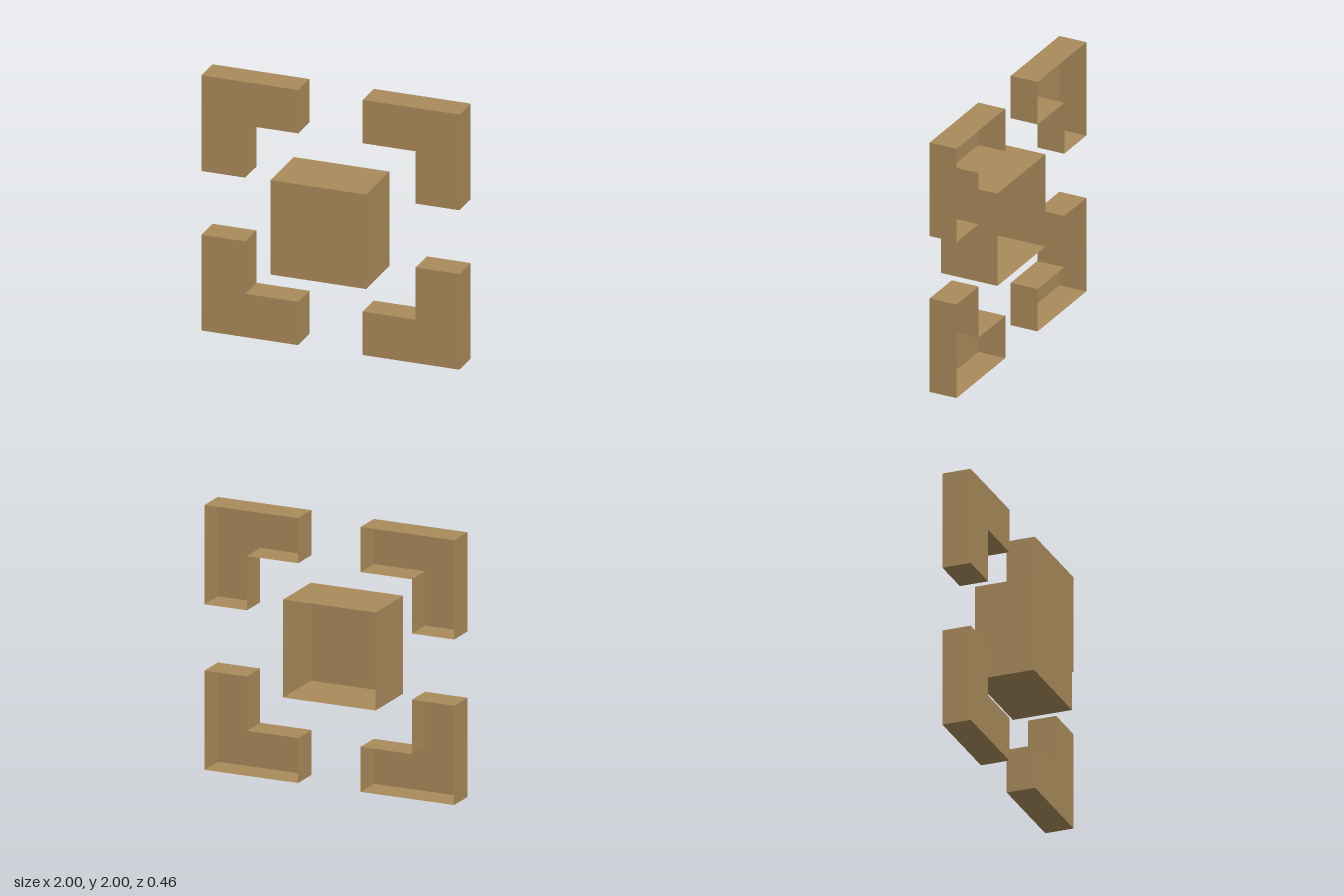
import * as THREE from 'three';

const BACK = -0.23;

// Open-backed shell: front face plus walls round a counter-clockwise outline
function shell(name, outline, front, material) {
  const group = new THREE.Group();
  group.name = name;

  const points = outline.map(([x, y]) => new THREE.Vector2(x, y));
  const face = new THREE.Mesh(new THREE.ShapeGeometry(new THREE.Shape(points)), material);
  face.name = 'frontFace';
  face.position.z = front;

  const pos = [];
  outline.forEach(([ax, ay], i) => {
    const [bx, by] = outline[(i + 1) % outline.length];
    pos.push(ax, ay, front, ax, ay, BACK, bx, by, BACK);
    pos.push(ax, ay, front, bx, by, BACK, bx, by, front);
  });
  const geometry = new THREE.BufferGeometry();
  geometry.setAttribute('position', new THREE.Float32BufferAttribute(pos, 3));
  geometry.computeVertexNormals();
  const walls = new THREE.Mesh(geometry, material);
  walls.name = 'sideWalls';

  group.add(face, walls);
  return group;
}

export function createModel() {
  const model = new THREE.Group();
  model.name = 'cornerBracketsAndBlock';
  const tan = new THREE.MeshStandardMaterial({ color: 0xa98a5b, side: THREE.DoubleSide });
  tan.name = 'tan';

  // Deep square block in the middle
  const h = 0.37;
  model.add(shell('centreBlock', [[-h, 1 - h], [h, 1 - h], [h, 1 + h], [-h, 1 + h]], 0.23, tan));

  // Four L-shaped corners, mirrored about the centre
  const tip = 0.25, inner = 0.66;
  const bracket = [[tip, inner], [inner, inner], [inner, tip], [1, tip], [1, 1], [tip, 1]];
  for (const sx of [-1, 1]) {
    for (const sy of [-1, 1]) {
      const outline = bracket.map(([x, y]) => [x * sx, 1 + y * sy]);
      if (sx * sy < 0) outline.reverse();
      const name = (sy > 0 ? 'upper' : 'lower') + (sx > 0 ? 'Left' : 'Right') + 'Corner';
      model.add(shell(name, outline, -0.01, tan));
    }
  }
  return model;
}
